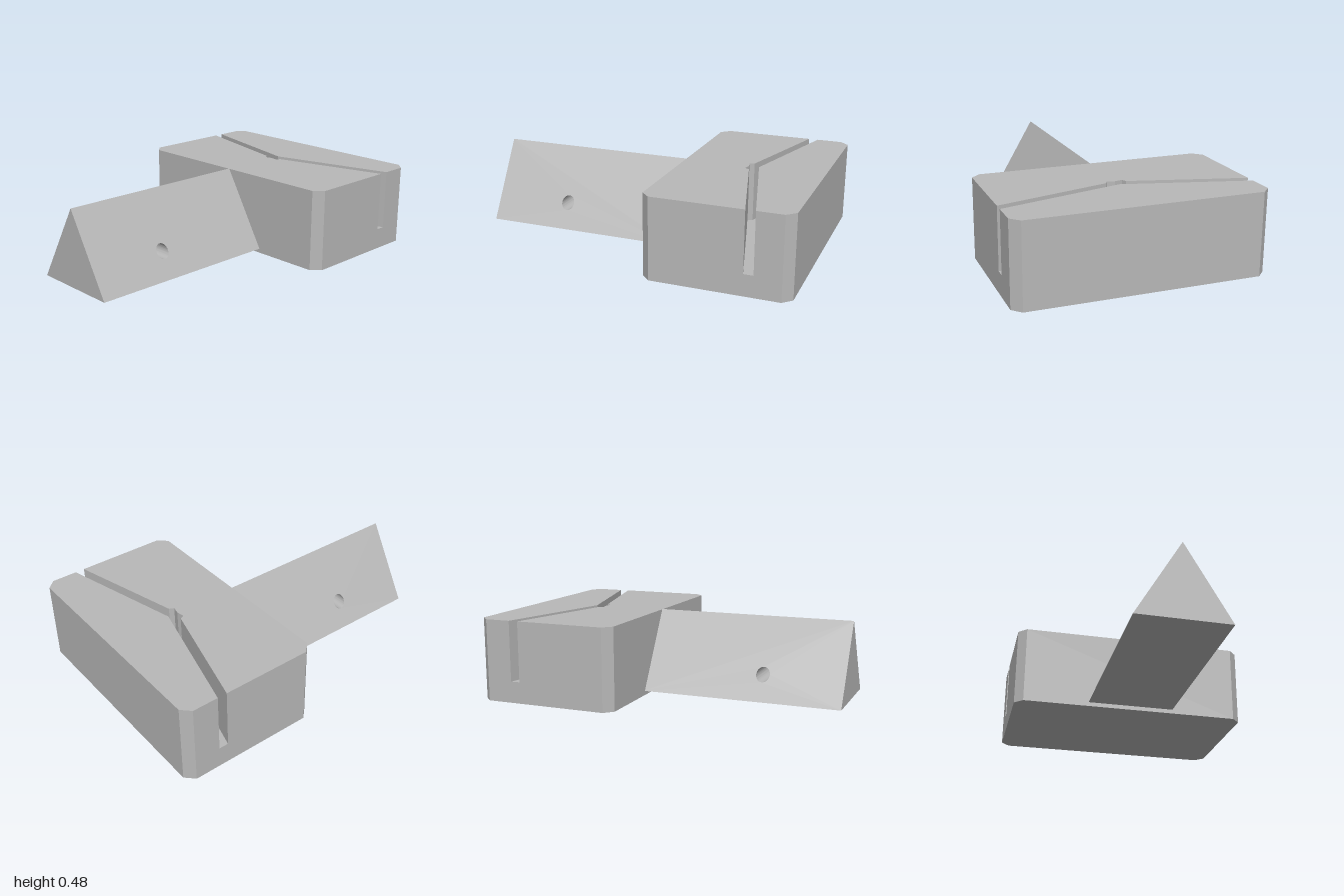
import * as THREE from 'three';
import { toCreasedNormals } from 'three/addons/utils/BufferGeometryUtils.js';

const TOP = 0.475;

export function createModel() {
  const group = new THREE.Group();
  const grey = new THREE.MeshStandardMaterial({ color: 0xb8b8b8 });
  grey.name = 'plainGrey';

  const add = (name, geometry) => {
    const mesh = new THREE.Mesh(geometry, grey);
    mesh.name = name;
    group.add(mesh);
  };

  // Upright block from an [x, z] outline, standing on the ground
  const block = (name, outline, height) => {
    const shape = new THREE.Shape(outline.map(([x, z]) => new THREE.Vector2(x, z)));
    const geometry = new THREE.ExtrudeGeometry(shape, { depth: height, bevelEnabled: false });
    geometry.rotateX(Math.PI / 2).translate(0, height, 0);
    add(name, geometry);
  };

  // Groove walls, front to back; the inner wall has a small notch at the bend
  const D = 0.71, C = 0.66;
  const innerWall = [[0.745, D], [0.572, 0.058], [0.545, 0.045], [0.555, 0],
    [0.545, -0.045], [0.572, -0.058], [0.745, -D]];
  const outerWall = [[0.8, D], [0.615, 0], [0.8, -D]];

  // Head: two halves with the groove floor between them
  block('headInner', [...innerWall, [0.22, -D], [0.17, -C], [0.17, C], [0.22, D]], TOP);
  block('headOuter', [...outerWall, [0.95, -D], [1, -C], [1, C], [0.95, D]], TOP);
  block('grooveFloor', [...innerWall, ...[...outerWall].reverse()], 0.125);

  // Handle: drilled rectangle whose thickness tapers to a ridge at the top
  const base = 0.025, ridge = 0.477, halfWidth = 0.264;
  const side = new THREE.Shape([[-1, base], [0.18, base], [0.18, ridge], [-1, ridge]]
    .map(([x, y]) => new THREE.Vector2(x, y)));
  side.holes.push(new THREE.Path().absarc(-0.53, 0.167, 0.04, 0, Math.PI * 2, true));
  const handle = new THREE.ExtrudeGeometry(side, { depth: 1, bevelEnabled: false, curveSegments: 32 });
  const p = handle.attributes.position;
  for (let i = 0; i < p.count; i++) {
    const half = halfWidth * (ridge - p.getY(i)) / (ridge - base);
    p.setZ(i, p.getZ(i) > 0.5 ? half : -half);
  }
  add('handle', toCreasedNormals(handle, 0.5));

  return group;
}
